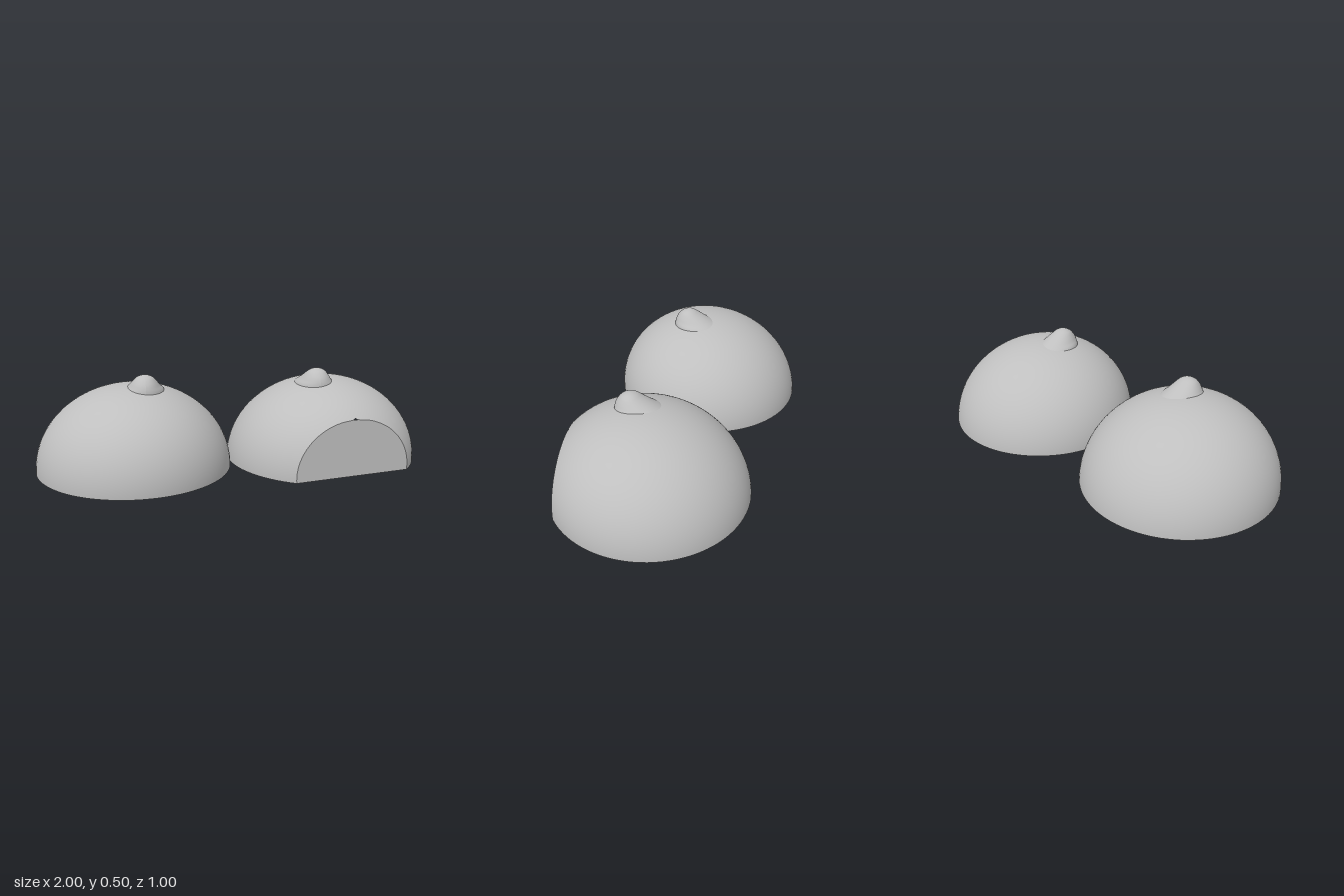
import * as THREE from 'three';

const R = 0.5, H = 0.44, LEAN = 0.07;

// Half-ellipsoid leaning slightly forward, optionally sliced flat at local z = cut
function makeDome(name, material, cut) {
  const group = new THREE.Group();
  group.name = name;
  const ring = (v) => {
    const y = H * Math.sin(v), r = R * Math.cos(v);
    const c = (cut - LEAN * y) / Math.max(r, 1e-6);
    return { y, r, gap: c < 1 ? Math.acos(c) : 0 };
  };

  // Curved shell: every row is an arc that leaves out the sliced part
  const shell = new THREE.PlaneGeometry(1, 1, 72, 80);
  const pos = shell.attributes.position, nor = shell.attributes.normal;
  const n = new THREE.Vector3();
  for (let i = 0; i < pos.count; i++) {
    const u = pos.getX(i) + 0.5, v = (pos.getY(i) + 0.5) * Math.PI / 2;
    const { y, r, gap } = ring(v);
    const a = gap + u * (2 * Math.PI - 2 * gap);
    const x = r * Math.sin(a), z = r * Math.cos(a);
    pos.setXYZ(i, x, y, z + LEAN * y);
    n.set(x / (R * R), y / (H * H) - LEAN * z / (R * R), z / (R * R)).normalize();
    nor.setXYZ(i, n.x, n.y, n.z);
  }
  const shellMesh = new THREE.Mesh(shell, material);
  shellMesh.name = name + 'Shell';
  group.add(shellMesh);

  // Flat underside
  const base = ring(0), outline = [];
  for (let i = 0; i <= 72; i++) {
    const a = base.gap + (i / 72) * (2 * Math.PI - 2 * base.gap);
    outline.push(new THREE.Vector2(R * Math.sin(a), R * Math.cos(a)));
  }
  if (base.gap === 0) outline.pop();
  const under = new THREE.Mesh(
    new THREE.ShapeGeometry(new THREE.Shape(outline)).rotateX(Math.PI / 2), material);
  under.name = name + 'Underside';
  group.add(under);

  // Flat face of the slice
  if (base.gap > 0) {
    const right = [];
    for (let i = 0; i <= 80; i++) {
      const { y, r, gap } = ring(i / 80 * Math.PI / 2);
      if (gap > 0) right.push(new THREE.Vector2(r * Math.sin(gap), y));
    }
    const left = right.map((p) => new THREE.Vector2(-p.x, p.y)).reverse();
    const face = new THREE.Mesh(
      new THREE.ShapeGeometry(new THREE.Shape([...right, ...left])), material);
    face.position.z = cut;
    face.name = name + 'SlicedFace';
    group.add(face);
  }
  return group;
}

// Rounded knob with a steep front and a long sloping back
function makeKnob(material) {
  // y, half width, front z, back z
  const keys = [
    [0.39, 0.112, 0.184, -0.1], [0.42, 0.098, 0.182, -0.057], [0.44, 0.08, 0.178, -0.02],
    [0.46, 0.065, 0.169, 0.017], [0.48, 0.049, 0.153, 0.053], [0.49, 0.036, 0.139, 0.07],
    [0.497, 0.02, 0.123, 0.088], [0.5, 0, 0.105, 0.105],
  ];
  const width = new THREE.SplineCurve(keys.map((k) => new THREE.Vector2(k[1], k[0])));
  const depth = new THREE.CatmullRomCurve3(
    keys.map((k) => new THREE.Vector3(k[2], k[3], 0)), false, 'catmullrom');
  const rows = 28, segs = 40;
  const profile = width.getPoints(rows), ends = depth.getPoints(rows);
  profile[rows].x = 0;
  const geo = new THREE.LatheGeometry(profile, segs);
  const p = geo.attributes.position;
  for (let i = 0; i < p.count; i++) {
    const j = i % (rows + 1), a = Math.floor(i / (rows + 1)) / segs * 2 * Math.PI;
    const front = ends[j].x, back = ends[j].y;
    p.setZ(i, (front + back) / 2 + Math.cos(a) * (front - back) / 2);
  }
  geo.computeVertexNormals();
  return new THREE.Mesh(geo, material);
}

export function createModel() {
  const model = new THREE.Group();
  const grey = new THREE.MeshStandardMaterial({ color: 0xbfbfbf });
  grey.name = 'plainGrey';

  const rightDome = makeDome('rightDome', grey, 9);
  rightDome.position.x = -0.5;
  model.add(rightDome);

  const leftDome = makeDome('leftDome', grey, 0.394);
  leftDome.position.x = 0.5;
  leftDome.rotation.y = 0.147;
  model.add(leftDome);

  for (const side of [-1, 1]) {
    const knob = makeKnob(grey);
    knob.name = side < 0 ? 'rightKnob' : 'leftKnob';
    knob.position.x = side * 0.443;
    model.add(knob);
  }
  return model;
}
